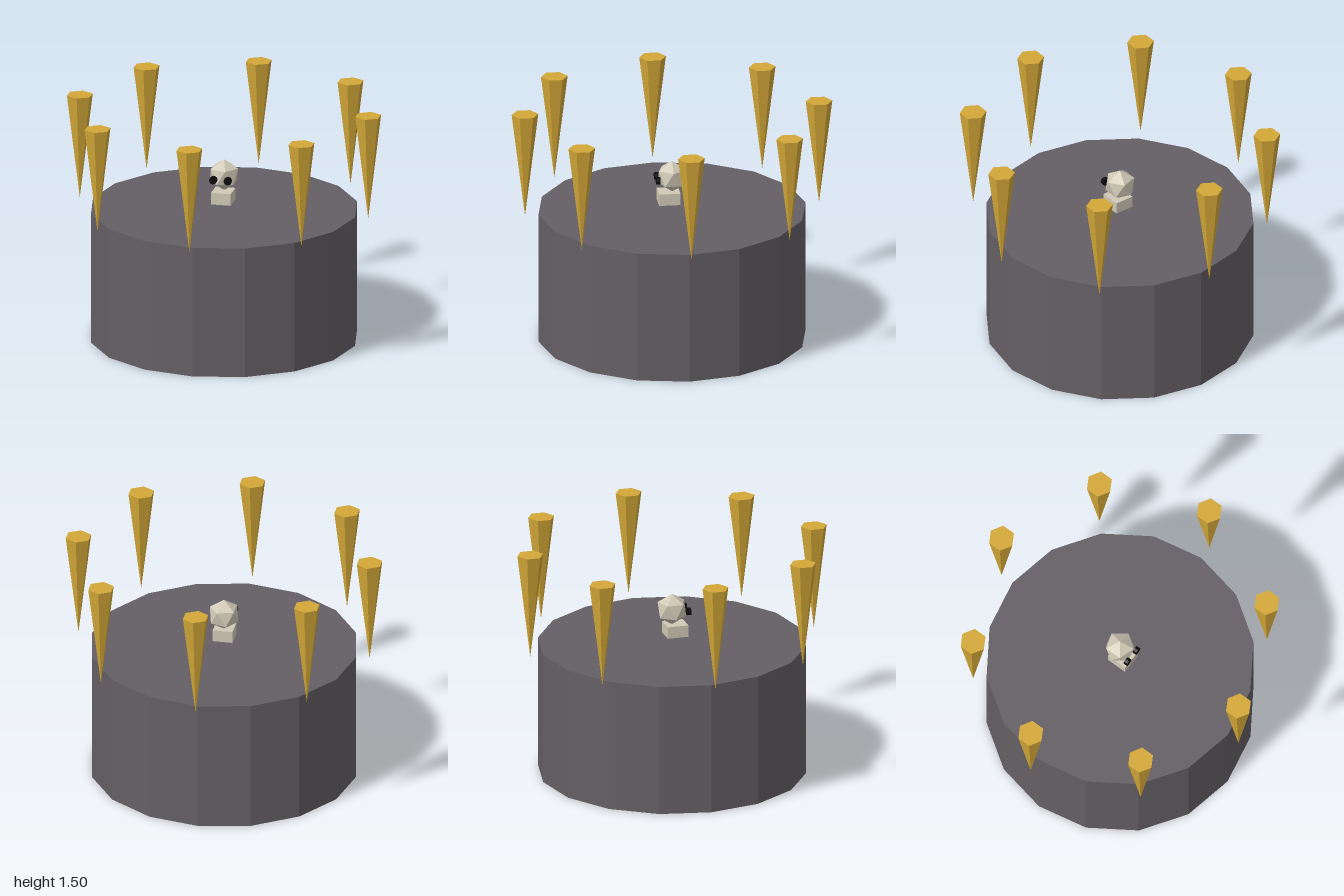
import * as THREE from 'three';

const material = (color) => new THREE.MeshStandardMaterial({ color, flatShading: true });

export function createModel() {
  const model = new THREE.Group();
  model.name = 'spikeAltar';

  const stone = material(0x645f64);
  const gold = material(0xd4a838);
  const bone = material(0xd0c9b6);
  const black = material(0x080808);

  const add = (parent, name, geometry, mat, x, y, z) => {
    const mesh = new THREE.Mesh(geometry, mat);
    mesh.name = name;
    mesh.position.set(x, y, z);
    parent.add(mesh);
    return mesh;
  };

  // Sixteen-sided stone drum
  add(model, 'pedestal', new THREE.CylinderGeometry(0.833, 0.833, 0.835, 16), stone, 0, 0.4175, 0);

  // Ring of eight hanging spikes, points down, all facing the same way
  const spikes = new THREE.Group();
  spikes.name = 'spikeRing';
  model.add(spikes);
  const spikeGeometry = new THREE.ConeGeometry(0.0833, 0.667, 6).rotateX(Math.PI);
  for (let i = 0; i < 8; i++) {
    const a = (i * Math.PI) / 4;
    add(spikes, 'spike', spikeGeometry, gold, 0.917 * Math.cos(a), 1.167, 0.917 * Math.sin(a));
  }

  // Floating skull: faceted cranium standing on a vertex, jaw block, two eye discs
  const skull = new THREE.Group();
  skull.name = 'skull';
  model.add(skull);
  const tilt = Math.atan(2 / (1 + Math.sqrt(5)));
  add(skull, 'cranium', new THREE.IcosahedronGeometry(0.1, 0).rotateZ(-tilt), bone, 0, 1.05, 0);
  add(skull, 'jaw', new THREE.BoxGeometry(0.125, 0.075, 0.133), bone, 0, 0.9167, 0.021);
  const eyeGeometry = new THREE.CylinderGeometry(0.025, 0.025, 0.025, 8).rotateX(Math.PI / 2);
  for (const side of [1, -1]) {
    add(skull, side > 0 ? 'leftEye' : 'rightEye', eyeGeometry, black, side * 0.046, 1.04, 0.0925);
  }

  return model;
}
